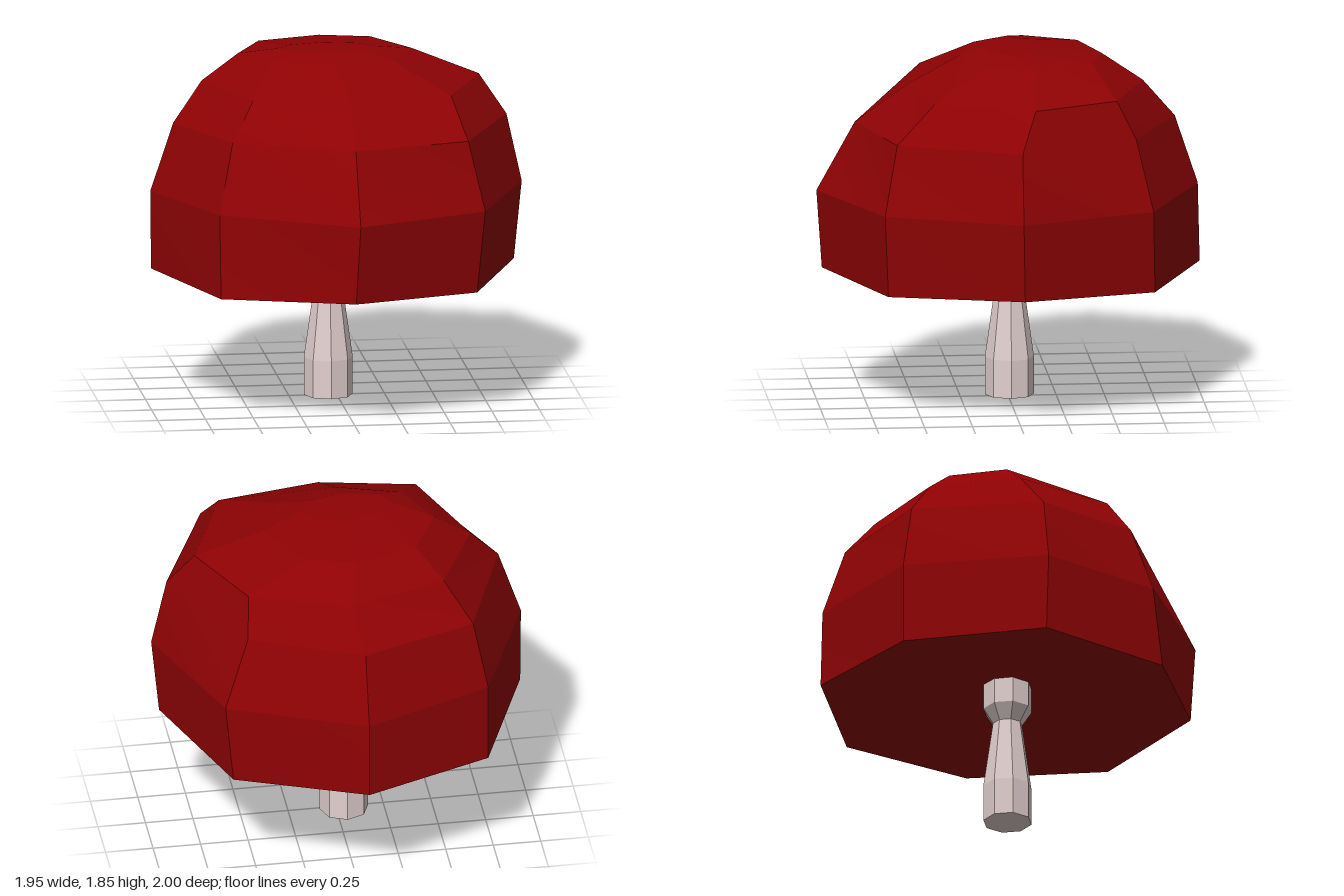
import * as THREE from 'three';

// Cap cross-sections, bottom to top: height and eight [x, z] corners,
// running from +x through +z (front), -x and -z (back).
const capRings = [
  { y: 0.685, p: [[0.93, -0.01], [0.65, 0.68], [-0.02, 0.97], [-0.69, 0.67], [-0.97, -0.01], [-0.69, -0.71], [-0.02, -1], [0.65, -0.71]] },
  { y: 1.11, p: [[0.97, 0], [0.69, 0.7], [0, 1], [-0.69, 0.62], [-0.975, 0], [-0.69, -0.71], [-0.02, -0.99], [0.69, -0.7]] },
  { y: 1.47, p: [[0.89, 0], [0.61, 0.63], [0, 0.8], [-0.61, 0.52], [-0.855, 0], [-0.62, -0.65], [-0.02, -0.87], [0.56, -0.62]] },
  { y: 1.67, p: [[0.755, -0.08], [0.545, 0.43], [0.01, 0.52], [-0.49, 0.42], [-0.695, -0.09], [-0.485, -0.525], [0.02, -0.7], [0.54, -0.52]] },
  { y: 1.805, p: [[0.41, -0.12], [0.27, 0.14], [-0.04, 0.25], [-0.36, 0.15], [-0.5, -0.115], [-0.36, -0.39], [-0.03, -0.49], [0.23, -0.42]] },
  { y: 1.845, p: [[0.2, -0.02], [0.12, 0.08], [-0.05, 0.12], [-0.24, 0.08], [-0.31, -0.02], [-0.23, -0.1], [-0.05, -0.14], [0.12, -0.1]] },
];

// Skins the stacked rings with flat-shaded facets and closes both ends with fans
function loft(rings, bottomCentre, topCentre) {
  const n = rings[0].p.length, last = rings.length - 1;
  const pos = [], index = [];
  const point = (r, i) => {
    const [x, z] = rings[r].p[i];
    const dip = r === 0 ? (i % 2 ? -0.01 : 0.01) : 0; // uneven lower rim
    return [x, rings[r].y + dip, z];
  };
  const facet = (...corners) => {
    const k = pos.length / 3;
    corners.forEach((c) => pos.push(...c));
    for (let c = 2; c < corners.length; c++) index.push(k, k + c - 1, k + c);
  };
  for (let i = 0; i < n; i++) {
    const j = (i + 1) % n;
    for (let r = 0; r < last; r++) facet(point(r, i), point(r + 1, i), point(r + 1, j), point(r, j));
    facet(bottomCentre, point(0, i), point(0, j));
    facet(topCentre, point(last, j), point(last, i));
  }
  const g = new THREE.BufferGeometry();
  g.setAttribute('position', new THREE.Float32BufferAttribute(pos, 3));
  g.setIndex(index);
  g.computeVertexNormals(); // corners are not shared, so each facet stays flat
  return g;
}

export function createModel() {
  const group = new THREE.Group();
  group.name = 'mushroom';

  const capRed = new THREE.MeshStandardMaterial({ color: 0x8f0204 });
  capRed.name = 'capRed';
  const stemPink = new THREE.MeshStandardMaterial({ color: 0xe2cfcf, flatShading: true });
  stemPink.name = 'stemPink';

  // Faceted, slightly lopsided cap with a hollowed underside
  const cap = new THREE.Mesh(loft(capRings, [-0.03, 0.79, -0.015], [-0.05, 1.845, -0.01]), capRed);
  cap.name = 'cap';
  group.add(cap);

  // Eight-sided stem with a pinched neck
  const profile = [[0, 0], [0.128, 0], [0.128, 0.2], [0.077, 0.56], [0.128, 0.64], [0.128, 0.82], [0, 0.82]]
    .map(([r, y]) => new THREE.Vector2(r, y));
  const stem = new THREE.Mesh(new THREE.LatheGeometry(profile, 8), stemPink);
  stem.name = 'stem';
  stem.position.set(-0.042, 0, -0.01);
  group.add(stem);

  return group;
}
